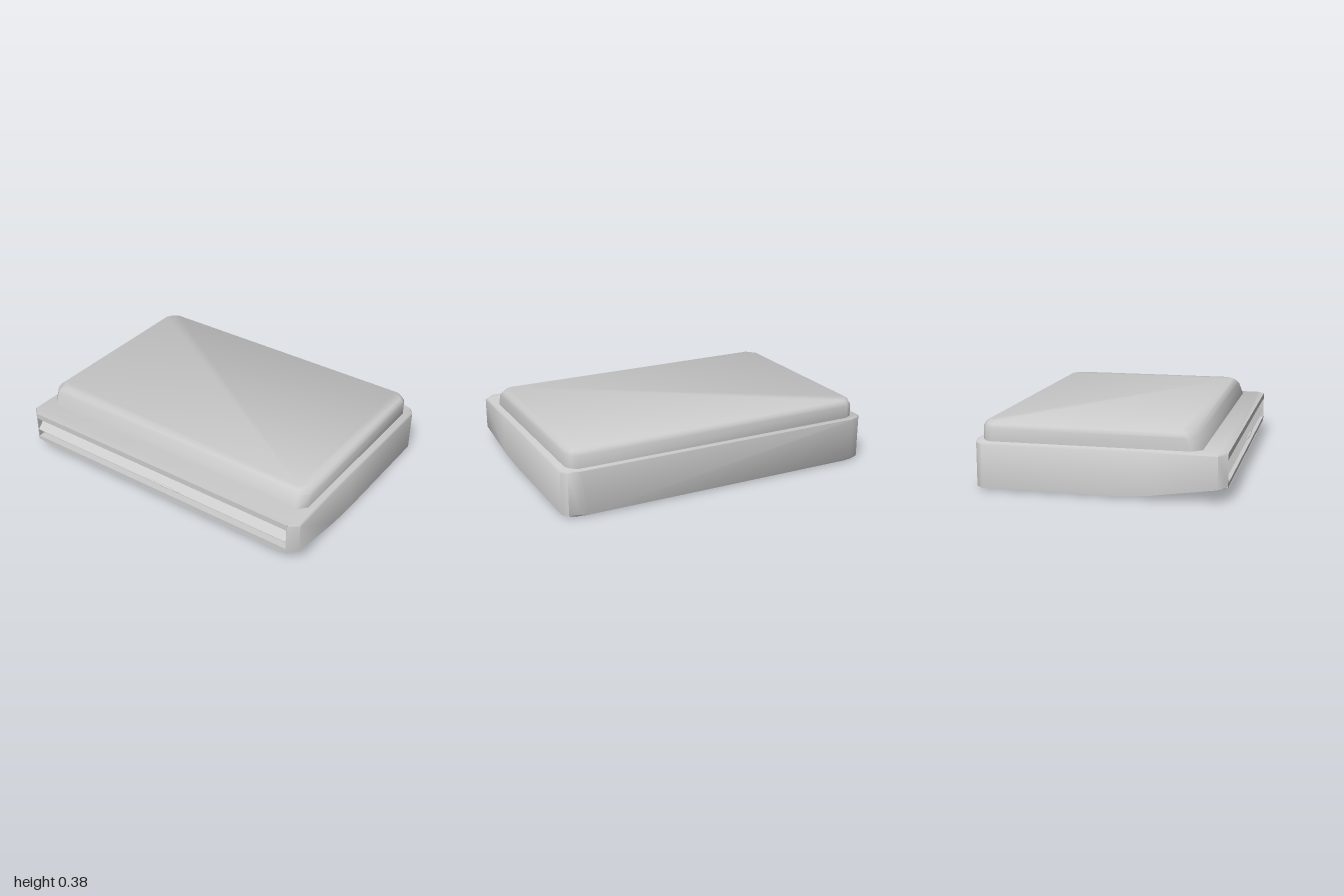
import * as THREE from 'three';
import { toCreasedNormals } from 'three/addons/utils/BufferGeometryUtils.js';

const material = new THREE.MeshStandardMaterial({ color: 0xcccccc, side: THREE.DoubleSide });

// Skin a list of equal-length rings, with optional end caps.
function loft(rings, capStart, capEnd, crease) {
  const n = rings[0].length, last = (rings.length - 1) * n, index = [];
  for (let i = 0; i < rings.length - 1; i++) {
    for (let j = 0; j < n; j++) {
      const a = i * n + j, b = i * n + (j + 1) % n;
      index.push(a, b, b + n, a, b + n, a + n);
    }
  }
  for (let j = 1; j < n - 1; j++) {
    if (capStart) index.push(0, j + 1, j);
    if (capEnd) index.push(last, last + j, last + j + 1);
  }
  const geometry = new THREE.BufferGeometry();
  geometry.setAttribute('position', new THREE.Float32BufferAttribute(rings.flat(2), 3));
  geometry.setIndex(index);
  return toCreasedNormals(geometry, crease);
}

function addPart(group, name, geometry) {
  const mesh = new THREE.Mesh(geometry, material);
  mesh.name = name;
  group.add(mesh);
  return mesh;
}

// Cross-section of the body at one depth: straight sides, small bevel underneath.
function bodySection([z, w, bottom]) {
  const half = [[w - 0.05, bottom], [w, bottom + 0.012], [w, 0.265], [w - 0.01, 0.275]];
  const right = half.map(([x, y]) => [x, y, z]);
  const left = half.map(([x, y]) => [-x, y, z]).reverse();
  return [...right, ...left];
}

// Plan outline of the lid: chamfered front corners, rounder back corners.
function lidRing([y, w, front, back]) {
  const half = [[w - 0.05, front], [w, front - 0.055], [w, back + 0.065],
    [w - 0.02, back + 0.025], [w - 0.06, back]];
  const right = half.map(([x, z]) => [x, y, z]);
  const left = half.map(([x, z]) => [-x, y, z]).reverse();
  return [...right, ...left];
}

export function createModel() {
  const model = new THREE.Group();
  model.name = 'flatbedUnit';

  // Body: depth, half width, underside height; underside rises to the front
  const sections = [
    [-0.73, 0.91, 0.008], [-0.71, 0.97, 0.002], [-0.67, 1, 0], [0.1, 1, 0],
    [0.2, 1, 0.005], [0.3, 1, 0.013], [0.675, 1, 0.067], [0.725, 0.945, 0.074],
  ];
  addPart(model, 'body', loft(sections.map(bodySection), true, false, 0.9));

  // Lid: height, half width, front edge, back edge
  const levels = [
    [0.274, 0.955, 0.58, -0.69], [0.35, 0.955, 0.55, -0.69],
    [0.372, 0.945, 0.53, -0.682], [0.385, 0.93, 0.51, -0.67],
  ];
  addPart(model, 'lid', loft(levels.map(lidRing), false, true, 1.0));

  // Front frame around the slot
  const frame = new THREE.Shape([[-0.945, 0.08], [0.945, 0.08], [0.945, 0.274], [-0.945, 0.274]]
    .map(([x, y]) => new THREE.Vector2(x, y)));
  frame.holes.push(new THREE.Path([[-0.94, 0.105], [-0.94, 0.238], [0.94, 0.238], [0.94, 0.105]]
    .map(([x, y]) => new THREE.Vector2(x, y))));
  addPart(model, 'frontFrame', new THREE.ExtrudeGeometry(frame, { depth: 0.05, bevelEnabled: false }))
    .position.z = 0.675;

  // Back of the slot
  addPart(model, 'slotPanel', new THREE.PlaneGeometry(1.88, 0.15)).position.set(0, 0.17, 0.68);

  // Wedge-shaped flap running along the slot
  const flap = [-0.94, 0.94].map(x => [[x, 0.198, 0.68], [x, 0.155, 0.725], [x, 0.15, 0.68]]);
  addPart(model, 'slotFlap', loft(flap.map(r => r.reverse()), true, true, 0.5));

  // Small finger grip on the flap
  const grip = addPart(model, 'flapGrip', new THREE.SphereGeometry(1, 16, 8));
  grip.scale.set(0.16, 0.006, 0.012);
  grip.position.set(0.07, 0.156, 0.718);

  return model;
}
